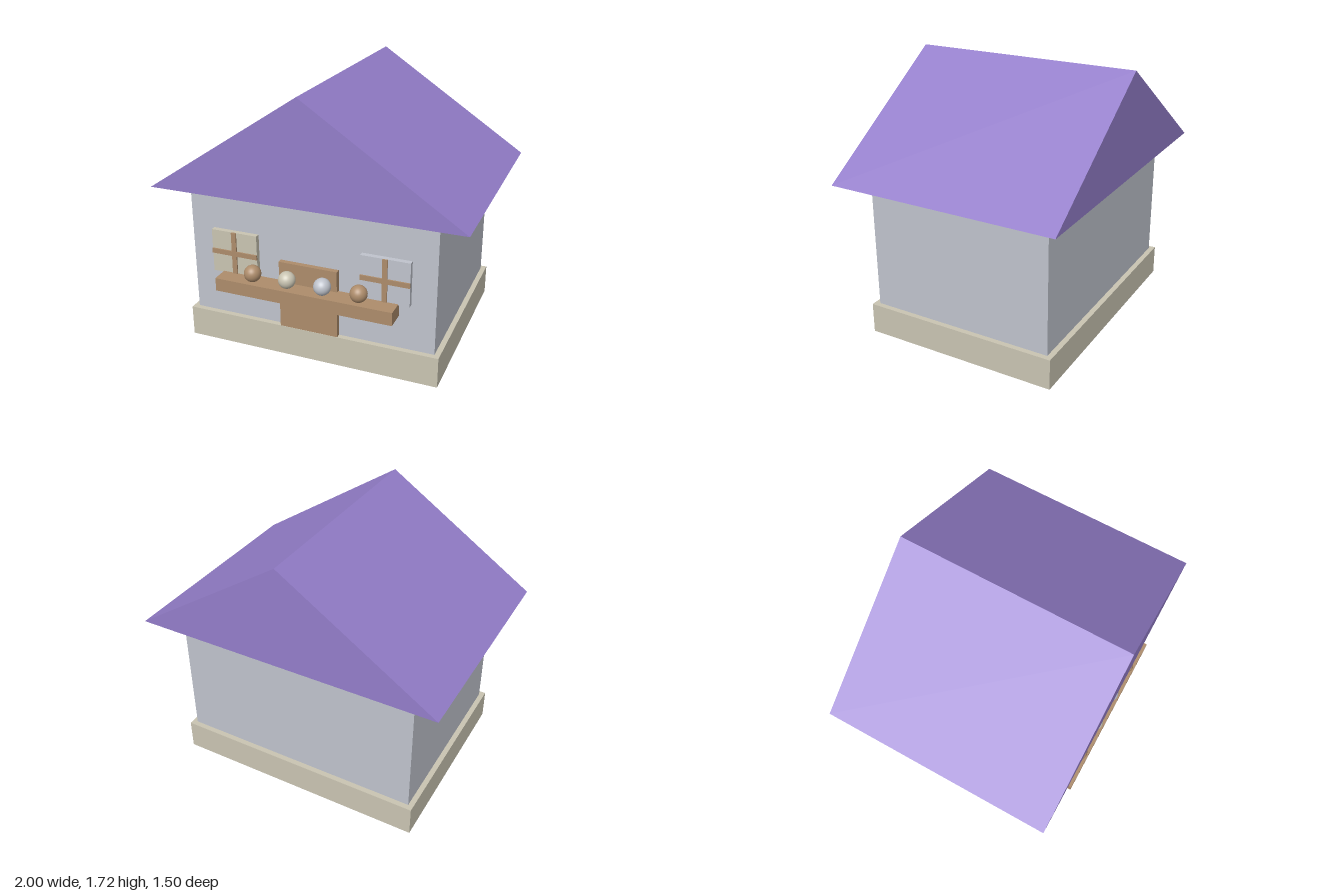
import * as THREE from 'three';

const material = (name, color) => {
  const m = new THREE.MeshStandardMaterial({ color });
  m.name = name;
  return m;
};

export function createModel() {
  const house = new THREE.Group();
  house.name = 'house';
  const plaster = material('pale grey', 0xbfc3cc);
  const stone = material('sandstone', 0xc9c4b2);
  const wood = material('brown wood', 0xad8c6b);
  const tiles = material('purple', 0x937dc9);

  const add = (name, geometry, mat) => {
    const mesh = new THREE.Mesh(geometry, mat);
    mesh.name = name;
    house.add(mesh);
    return mesh;
  };
  // Box given by its limits on each axis
  const box = (name, mat, [x0, x1], [y0, y1], [z0, z1]) =>
    add(name, new THREE.BoxGeometry(x1 - x0, y1 - y0, z1 - z0), mat)
      .position.set((x0 + x1) / 2, (y0 + y1) / 2, (z0 + z1) / 2);

  // Foundation and walls
  box('foundation', stone, [-0.837, 0.837], [0, 0.2], [-0.645, 0.645]);
  box('walls', plaster, [-0.803, 0.803], [0.19, 1.065], [-0.61, 0.61]);

  // Gabled roof: a solid triangular prism
  const gable = new THREE.Shape([
    new THREE.Vector2(-1, 1.06),
    new THREE.Vector2(1, 1.06),
    new THREE.Vector2(0, 1.723),
  ]);
  add('roof', new THREE.ExtrudeGeometry(gable, { depth: 1.496, bevelEnabled: false }), tiles)
    .position.z = -0.75;

  // Door
  box('door', wood, [-0.192, 0.192], [0.2, 0.647], [0.6, 0.643]);

  // Windows with crossed bars
  for (const [side, x, mat] of [['right', -0.495, stone], ['left', 0.495, plaster]]) {
    box(side + 'Window', mat, [x - 0.155, x + 0.155], [0.505, 0.79], [0.6, 0.643]);
    box(side + 'WindowUpright', wood, [x - 0.016, x + 0.016], [0.505, 0.79], [0.64, 0.652]);
    box(side + 'WindowCrossbar', wood, [x - 0.155, x + 0.155], [0.632, 0.664], [0.64, 0.652]);
  }

  // Shelf with a row of balls
  box('shelf', wood, [-0.58, 0.58], [0.426, 0.512], [0.622, 0.752]);
  [wood, stone, plaster, wood].forEach((mat, i) => {
    add('ball' + (i + 1), new THREE.SphereGeometry(0.054, 32, 20), mat)
      .position.set(-0.35 + i * 0.2333, 0.56, 0.69);
  });

  return house;
}
